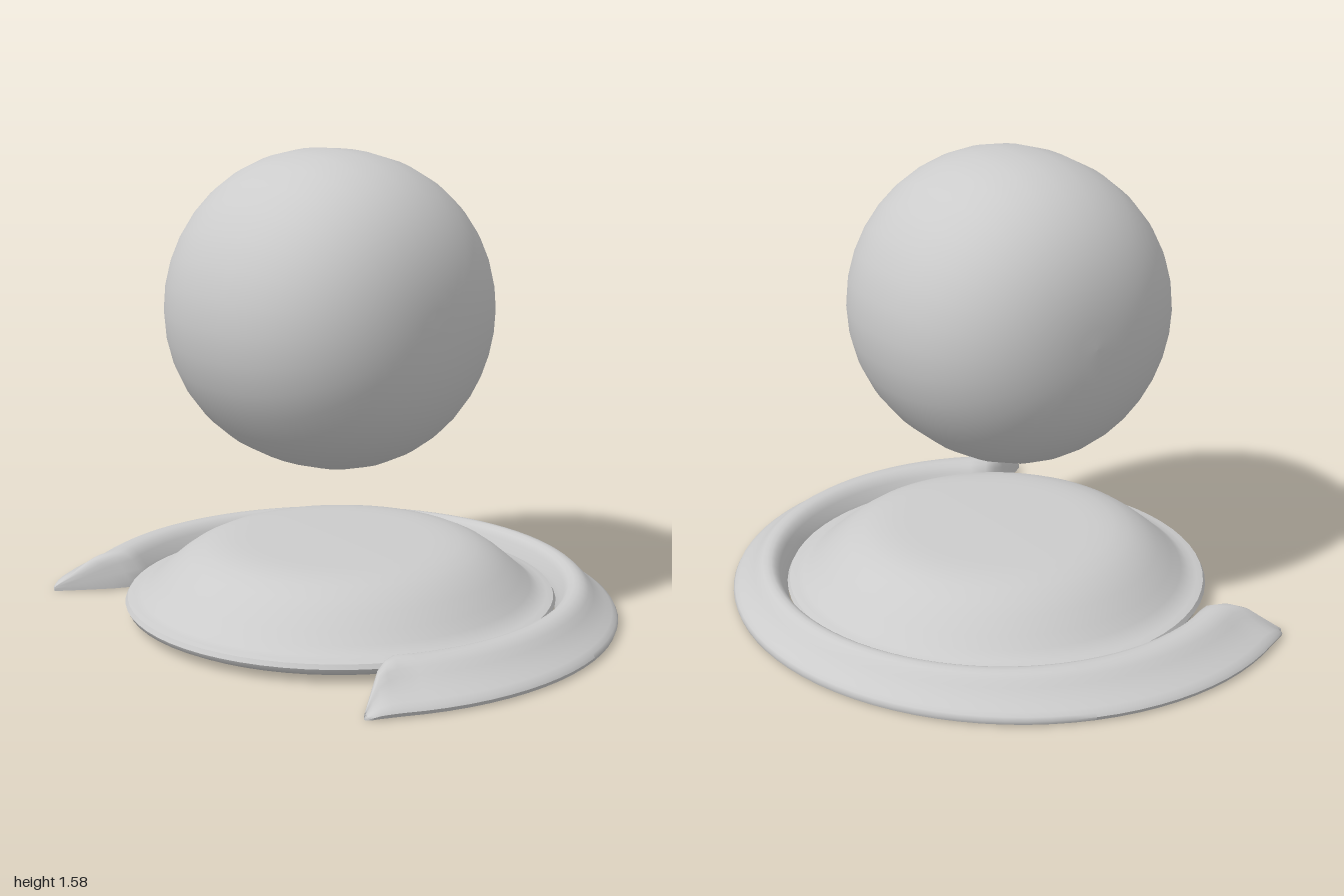
import * as THREE from 'three';
import { toCreasedNormals } from 'three/addons/utils/BufferGeometryUtils.js';

const material = new THREE.MeshStandardMaterial({ color: 0xcccccc });
const v2 = (x, y) => new THREE.Vector2(x, y);

function addPart(group, name, geometry) {
  const mesh = new THREE.Mesh(geometry, material);
  mesh.name = name;
  group.add(mesh);
  return mesh;
}

// Slightly squared ball: superellipse profile turned about the x axis
function ballGeometry() {
  const profile = [], steps = 32, power = 2 / 2.3;
  for (let i = 0; i <= steps; i++) {
    const a = (i / steps) * Math.PI;
    const c = -Math.cos(a);
    profile.push(v2(
      i % steps ? 0.53 * Math.pow(Math.sin(a), power) : 0,
      0.52 * Math.sign(c) * Math.pow(Math.abs(c), power)));
  }
  return new THREE.LatheGeometry(profile, 32).rotateZ(-Math.PI / 2);
}

// Low domed plate with a thin rounded rim and a flat top
function plateGeometry() {
  const profile = [
    [0, 0.008], [0.63, 0.01], [0.7, 0.02], [0.728, 0.034], [0.736, 0.05],
    [0.728, 0.065], [0.705, 0.071], [0.68, 0.075], [0.65, 0.098], [0.615, 0.13],
    [0.565, 0.173], [0.52, 0.205], [0.465, 0.231], [0.41, 0.244], [0.36, 0.249],
    [0.31, 0.251], [0, 0.251],
  ].map(([r, y]) => v2(r, y));
  return toCreasedNormals(new THREE.LatheGeometry(profile, 64), 0.7);
}

// Horseshoe band: a raised section swept between an inner and an outer arc
function bandGeometry() {
  // [fraction from inner to outer edge, height]
  const section = [
    [0, 0.005], [0, 0.03], [0.07, 0.06], [0.14, 0.095], [0.21, 0.115], [0.29, 0.123],
    [0.37, 0.123], [0.45, 0.119], [0.53, 0.106], [0.61, 0.088], [0.7, 0.07],
    [0.8, 0.054], [0.9, 0.04], [0.97, 0.03], [1, 0.018], [0.98, 0.005],
  ];
  // Stations: inner x, z, outer x, z, height scale
  const stations = [], arcSteps = 56;
  const sweepIn = Math.PI / 2 + 0.515, sweepOut = Math.PI / 2 + 0.5;
  for (let i = 0; i <= arcSteps; i++) {
    const u = (i / arcSteps) * 2 - 1, a = u * sweepIn, b = u * sweepOut;
    stations.push([
      0.735 * Math.sin(a), 0.085 - 0.735 * Math.cos(a),
      Math.sin(b), 0.15 - 0.98 * Math.cos(b), 1]);
  }
  // Tapered ends, mirrored onto both sides
  const tip = [
    [0.655, 0.5, 0.862, 0.65, 0.96], [0.682, 0.55, 0.845, 0.68, 0.82],
    [0.73, 0.615, 0.832, 0.7, 0.52], [0.775, 0.675, 0.82, 0.71, 0.28],
    [0.807, 0.715, 0.807, 0.715, 0.12],
  ];
  for (const [xi, zi, xo, zo, h] of tip) {
    stations.push([xi, zi, xo, zo, h]);
    stations.unshift([-xi, zi, -xo, zo, h]);
  }

  const positions = [], index = [], n = section.length;
  stations.forEach(([xi, zi, xo, zo, h], i) => {
    section.forEach(([t, y], j) => {
      positions.push(xi + (xo - xi) * t, y * h, zi + (zo - zi) * t);
      if (i === stations.length - 1) return;
      const a = i * n + j, b = i * n + (j + 1) % n;
      index.push(a, a + n, b, a + n, b + n, b);
    });
  });
  const geometry = new THREE.BufferGeometry();
  geometry.setAttribute('position', new THREE.Float32BufferAttribute(positions, 3));
  geometry.setIndex(index);
  return toCreasedNormals(geometry, 0.9);
}

export function createModel() {
  const model = new THREE.Group();
  model.name = 'model';
  addPart(model, 'ball', ballGeometry()).position.set(0, 1.055, 0.13);
  addPart(model, 'domedPlate', plateGeometry()).position.z = 0.085;
  addPart(model, 'horseshoeBand', bandGeometry());
  return model;
}
